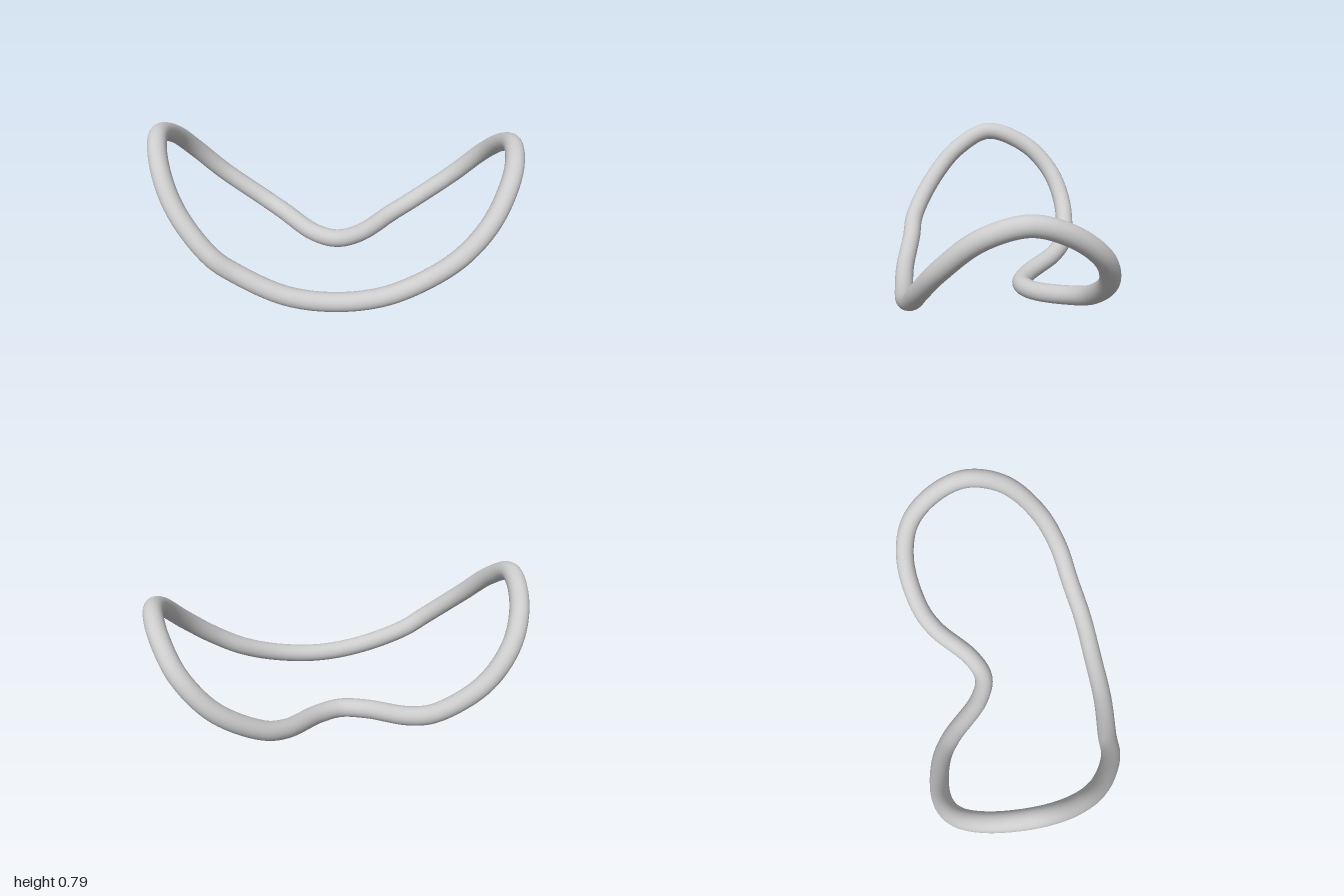
import * as THREE from 'three';

export function createModel() {
  const group = new THREE.Group();

  // Plan outline of the rim (x, z), clockwise from the back notch
  const plan = [
    [0, -0.16], [0.13, -0.21], [0.33, -0.39], [0.46, -0.46], [0.69, -0.495],
    [0.84, -0.43], [0.92, -0.27], [0.947, -0.08], [0.915, 0.13], [0.8, 0.31],
    [0.65, 0.4], [0.475, 0.44], [0.25, 0.48], [0, 0.491], [-0.25, 0.488],
    [-0.5, 0.45], [-0.63, 0.43], [-0.81, 0.31], [-0.91, 0.15], [-0.95, -0.05],
    [-0.915, -0.29], [-0.83, -0.435], [-0.68, -0.495], [-0.45, -0.465],
    [-0.33, -0.395], [-0.13, -0.21],
  ];

  // The outline is wrapped onto a cylinder that runs front to back
  const R = 1.015, cx = 0.01, tube = 0.051;
  const height = (x) => R + tube - Math.sqrt(R * R - (x - cx) ** 2);
  const path = new THREE.CatmullRomCurve3(
    plan.map(([x, z]) => new THREE.Vector3(x, height(x), z)), true, 'centripetal');

  const rim = new THREE.Mesh(
    new THREE.TubeGeometry(path, 240, tube, 24, true),
    new THREE.MeshStandardMaterial({ color: 0xcccccc }));
  rim.name = 'lensRim';
  group.add(rim);
  return group;
}
